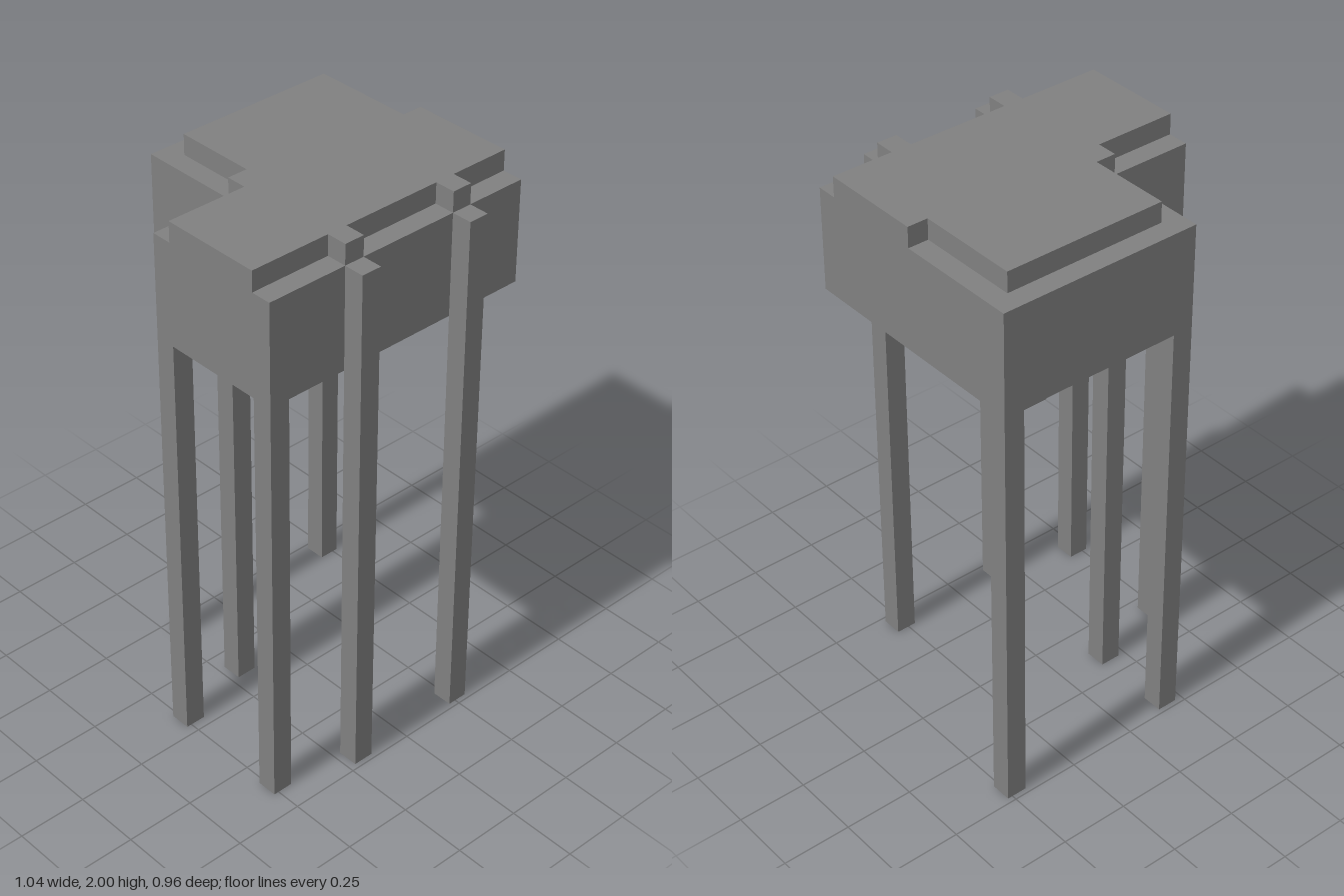
import * as THREE from 'three';

// Everything sits on a cubic grid: 14 wide, 27 high, 13 deep.
const U = 2 / 27;
const gx = (i) => (i - 7) * U;
const gz = (k) => (k - 6.5) * U;

export function createModel() {
  const model = new THREE.Group();
  model.name = 'blockTable';
  const grey = new THREE.MeshStandardMaterial({ color: 0x808080 });
  grey.name = 'plain grey';

  const add = (name, geometry) => {
    const mesh = new THREE.Mesh(geometry, grey);
    mesh.name = name;
    model.add(mesh);
    return mesh;
  };

  // Box between two grid corners
  const box = (name, x0, x1, y0, y1, z0, z1) => {
    const mesh = add(name, new THREE.BoxGeometry((x1 - x0) * U, (y1 - y0) * U, (z1 - z0) * U));
    mesh.position.set(gx((x0 + x1) / 2), ((y0 + y1) / 2) * U, gz((z0 + z1) / 2));
  };

  // Slab with a floor-plan outline given as [x, z] grid points
  const slab = (name, outline, y0, y1) => {
    const shape = new THREE.Shape(outline.map(([x, z]) => new THREE.Vector2(gx(x), gz(z))));
    const geometry = new THREE.ExtrudeGeometry(shape, { depth: (y1 - y0) * U, bevelEnabled: false });
    geometry.rotateX(Math.PI / 2);
    add(name, geometry).position.y = y1 * U;
  };

  // Main body with a notched back corner
  slab('body', [[4, 0], [14, 0], [14, 12], [0, 12], [0, 5], [4, 5]], 21, 26);

  // Raised top with two tabs at the front edge
  slab('topPlate', [
    [5, 1], [13, 1], [13, 6], [14, 6], [14, 11], [11, 11], [11, 12], [10, 12], [10, 11],
    [5, 11], [5, 12], [4, 12], [4, 11], [0, 11], [0, 6], [4, 6], [4, 5], [5, 5],
  ], 26, 27);

  // Block hanging under the body
  box('underBlock', 11, 13, 20, 21, 1, 6);

  // Legs below the body
  for (const [x, z] of [[0, 11], [0, 5], [4, 4], [4, 0], [13, 0]]) {
    box('leg', x, x + 1, 0, 21, z, z + 1);
  }

  // Tall legs attached to the front face
  for (const x of [4, 10]) box('frontLeg', x, x + 1, 0, 26, 12, 13);

  return model;
}
